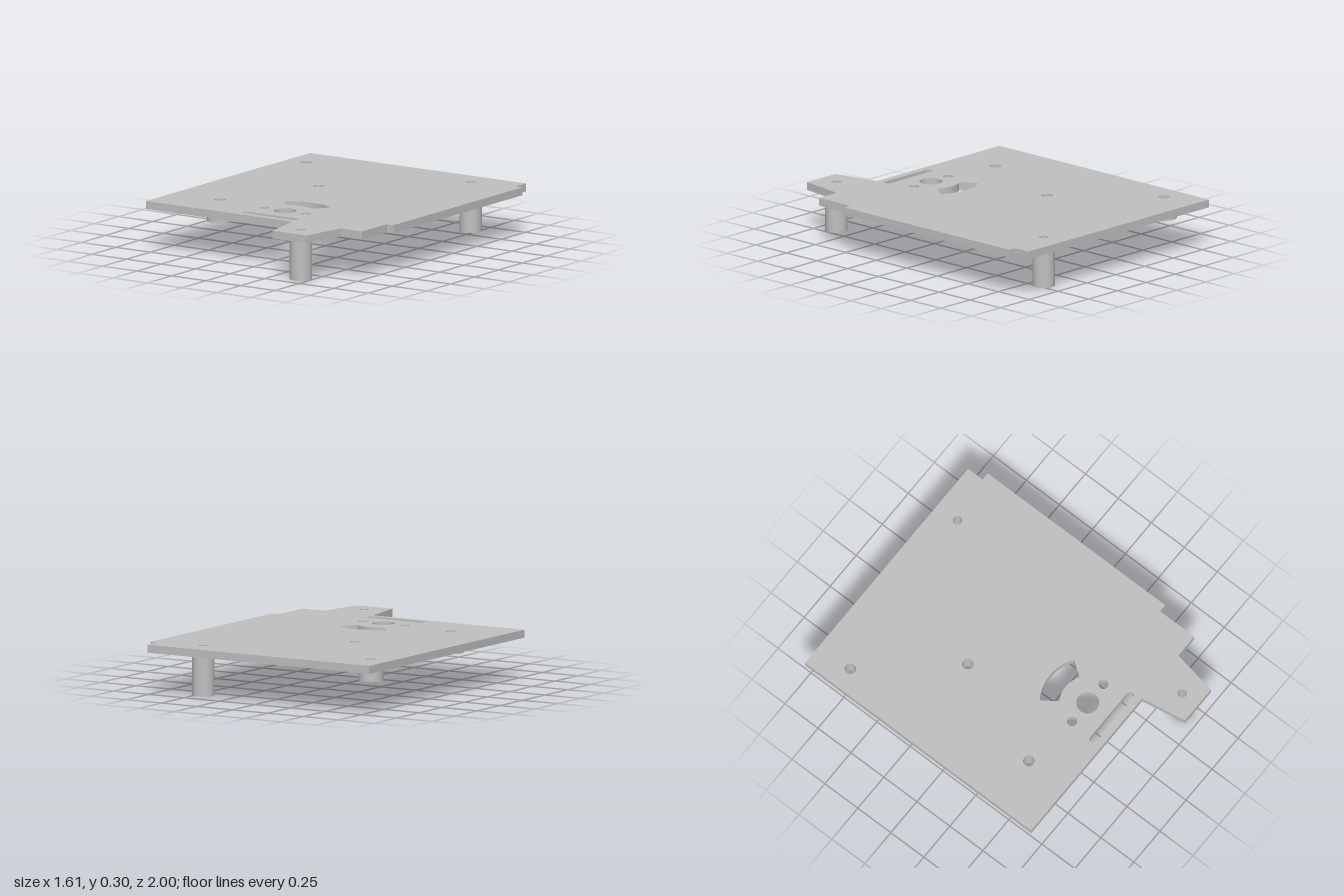
import * as THREE from 'three';
import { toCreasedNormals } from 'three/addons/utils/BufferGeometryUtils.js';

const TOP = 0.298, UNDER = 0.25;

// Circular outline in plan (x, z)
function circle(PathType, x, z, r) {
  return new PathType().absarc(x, z, r, 0, Math.PI * 2, false);
}

// Extrude a plan shape (x, z) downwards from yTop to yBottom
function slab(shape, yTop, yBottom) {
  const g = new THREE.ExtrudeGeometry(shape, {
    depth: yTop - yBottom, bevelEnabled: false, curveSegments: 32,
  });
  g.rotateX(Math.PI / 2);
  g.translate(0, yTop, 0);
  return toCreasedNormals(g, 0.6);
}

export function createModel() {
  const group = new THREE.Group();
  const grey = new THREE.MeshStandardMaterial({ color: 0xc0c0c0 });
  grey.name = 'plain grey';

  const add = (name, geometry) => {
    const mesh = new THREE.Mesh(geometry, grey);
    mesh.name = name;
    group.add(mesh);
  };

  // Hollow standoffs: x, z, outer radius, hole radius, foot height
  const standoffs = [
    ['shortStandoffBack', -0.67, -0.765, 0.074, 0.034, 0.17],
    ['shortStandoffMiddle', -0.214, -0.235, 0.074, 0.034, 0.17],
    ['shortStandoffFront', -0.47, 0.43, 0.074, 0.034, 0.17],
    ['tallStandoffBack', 0.462, -0.847, 0.067, 0.028, 0],
    ['tallStandoffFront', 0.43, 0.88, 0.067, 0.028, 0],
  ];

  // Plate outline with side step and tapered front tab
  const plate = new THREE.Shape([
    [-0.807, -1], [0.758, -1], [0.758, -0.89], [0.807, -0.89], [0.807, 0.455],
    [0.758, 0.455], [0.758, 0.714], [0.605, 0.714], [0.556, 1], [0.308, 1],
    [0.258, 0.714], [-0.807, 0.714],
  ].map(([x, z]) => new THREE.Vector2(x, z)));

  // Shaft hole and its two screw holes
  const cx = 0.036, cz = 0.477;
  plate.holes.push(circle(THREE.Path, cx, cz, 0.068));
  for (const side of [-1, 1]) {
    plate.holes.push(circle(THREE.Path, cx + side * 0.15, cz, 0.03));
  }

  // Arc-shaped window around the shaft hole
  const mid = -Math.PI / 2, half = 0.61;
  const arc = new THREE.Path();
  arc.absarc(cx, cz, 0.285, mid - half, mid + half, false);
  arc.absarc(cx, cz, 0.168, mid + half, mid - half, true);
  arc.closePath();
  plate.holes.push(arc);

  // Rounded slot
  const slot = new THREE.Path();
  slot.absarc(0.227, 0.647, 0.024, -Math.PI / 2, Math.PI / 2, false);
  slot.absarc(-0.123, 0.647, 0.024, Math.PI / 2, Math.PI * 1.5, false);
  slot.closePath();
  plate.holes.push(slot);

  // Bores continue through plate and standoffs
  for (const [name, x, z, outer, bore, foot] of standoffs) {
    plate.holes.push(circle(THREE.Path, x, z, bore));
    const tube = circle(THREE.Shape, x, z, outer);
    tube.holes.push(circle(THREE.Path, x, z, bore));
    add(name, slab(tube, UNDER, foot));
  }

  add('basePlate', slab(plate, TOP, UNDER));
  return group;
}
